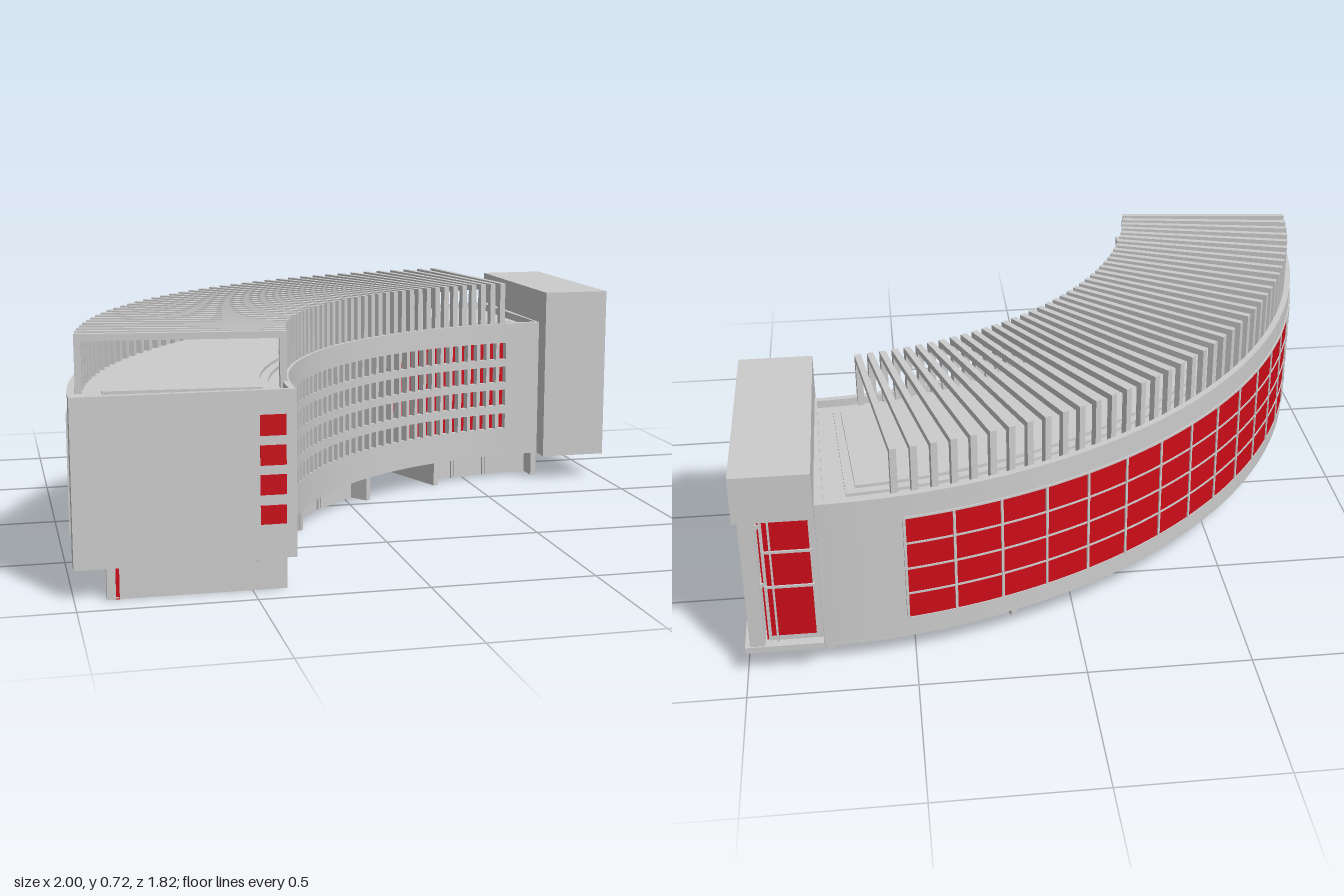
import * as THREE from 'three';
import { toCreasedNormals } from 'three/addons/utils/BufferGeometryUtils.js';

const CX = 0.8, CZ = 0.91;            // centre of the curved plan
const R_IN = 1.17, R_OUT = 1.8;       // courtyard and street radii
const RAD = Math.PI / 180;
const END = 89;                       // sweep of the wing in degrees
const ROWS = [[0.19, 0.245], [0.275, 0.333], [0.36, 0.418], [0.445, 0.505]];

const grey = new THREE.MeshStandardMaterial({ color: 0xcccccc });
const red = new THREE.MeshStandardMaterial({ color: 0xcc0c18 });

export function createModel() {
  const root = new THREE.Group();

  const part = (name) => {
    const g = new THREE.Group();
    g.name = name;
    root.add(g);
    return g;
  };
  const add = (parent, name, geometry, material) => {
    const m = new THREE.Mesh(geometry, material);
    m.name = name;
    parent.add(m);
    return m;
  };
  // box given by its limits
  const box = (parent, name, x0, x1, y0, y1, z0, z1, material = grey) => {
    const m = add(parent, name, new THREE.BoxGeometry(x1 - x0, y1 - y0, z1 - z0), material);
    m.position.set((x0 + x1) / 2, (y0 + y1) / 2, (z0 + z1) / 2);
    return m;
  };
  // curved block between two radii, two angles and two heights
  const sector = (parent, name, r0, r1, t0, t1, y0, y1, material = grey) => {
    const a0 = Math.PI - t0 * RAD, a1 = Math.PI - t1 * RAD;
    const shape = new THREE.Shape();
    shape.absarc(CX, -CZ, r1, a0, a1, true);
    shape.absarc(CX, -CZ, r0, a1, a0, false);
    shape.closePath();
    const curveSegments = Math.max(3, Math.ceil((t1 - t0) * 0.7));
    const g = new THREE.ExtrudeGeometry(shape, { depth: y1 - y0, bevelEnabled: false, curveSegments });
    g.rotateX(-Math.PI / 2);
    g.translate(0, y0, 0);
    return add(parent, name, toCreasedNormals(g, 0.5), material);
  };
  // box lying along a radius
  const radialBox = (parent, name, r0, r1, t, width, y0, y1, material = grey) => {
    const m = add(parent, name, new THREE.BoxGeometry(r1 - r0, y1 - y0, width), material);
    const r = (r0 + r1) / 2;
    m.position.set(CX - r * Math.cos(t * RAD), (y0 + y1) / 2, CZ - r * Math.sin(t * RAD));
    m.rotation.y = -t * RAD;
    return m;
  };

  // main wing with parapet and raised roof
  const wing = part('curvedWing');
  sector(wing, 'wingBody', R_IN + 0.03, R_OUT, 0, END, 0.09, 0.55);
  sector(wing, 'innerParapet', R_IN, R_IN + 0.02, 0, END, 0.55, 0.575);
  sector(wing, 'outerParapet', R_OUT - 0.02, R_OUT, 0, END, 0.55, 0.575);
  sector(wing, 'frontParapet', R_IN, R_OUT, 0, 0.8, 0.55, 0.575);
  sector(wing, 'rearParapet', R_IN, R_OUT, END - 0.8, END, 0.55, 0.575);
  sector(wing, 'roofStep', R_IN + 0.06, R_OUT - 0.07, 2.6, 86, 0.55, 0.56);
  sector(wing, 'roofSlab', R_IN + 0.085, R_OUT - 0.095, 3.6, 85, 0.56, 0.57);

  // courtyard wall: plain bands, then piers with red glass behind
  const court = part('courtyardWall');
  const T0 = 6.9, T1 = 82.5, BAYS = 39;
  sector(court, 'frontWall', R_IN, R_IN + 0.03, 0, T0, 0.09, 0.55);
  sector(court, 'rearWall', R_IN, R_IN + 0.03, T1, END, 0.09, 0.55);
  const edges = [0.09, ...ROWS.flat(), 0.55];
  for (let i = 0; i < edges.length; i += 2)
    sector(court, 'wallBand', R_IN, R_IN + 0.03, T0, T1, edges[i], edges[i + 1]);
  for (const [y0, y1] of ROWS) {
    sector(court, 'windowGlass', R_IN + 0.022, R_IN + 0.032, T0, T1, y0, y1, red);
    for (let i = 0; i <= BAYS; i++)
      radialBox(court, 'windowPier', R_IN - 0.002, R_IN + 0.03, T0 + (T1 - T0) * i / BAYS, 0.014, y0, y1);
  }

  // windows on the front end
  const endWindows = part('endWindows');
  for (const [y0, y1] of ROWS) box(endWindows, 'endWindow', -0.475, -0.4, y0, y1, 0.9, 0.912, red);

  // large street-side glazing with mullions
  const glazing = part('streetGlazing');
  const G0 = 5.5, G1 = 81, GY0 = 0.15, GY1 = 0.5;
  sector(glazing, 'streetGlass', R_OUT - 0.01, R_OUT + 0.002, G0, G1, GY0, GY1, red);
  for (let i = 0; i <= 16; i++)
    radialBox(glazing, 'mullion', R_OUT - 0.01, R_OUT + 0.006, G0 + (G1 - G0) * i / 16, 0.008, GY0, GY1);
  for (let i = 0; i <= 4; i++) {
    const y = GY0 + (GY1 - GY0) * i / 4;
    sector(glazing, 'transom', R_OUT - 0.01, R_OUT + 0.005, G0, G1, y - 0.003, y + 0.003);
  }

  // row of portal frames over the roof
  const pergola = part('roofFrames');
  const FRAMES = 40;
  for (let i = 0; i < FRAMES; i++) {
    const t = 6.8 + (81.6 - 6.8) * i / (FRAMES - 1);
    radialBox(pergola, 'frameBeam', R_IN + 0.008, R_OUT - 0.02, t, 0.02, 0.7, 0.72);
    radialBox(pergola, 'innerPost', R_IN + 0.008, R_IN + 0.028, t, 0.02, 0.55, 0.7);
    radialBox(pergola, 'outerPost', R_OUT - 0.04, R_OUT - 0.02, t, 0.02, 0.55, 0.7);
  }

  // ground floor: three hollow pavilions, glazed to the street
  const ground = part('groundFloor');
  for (const [t0, t1] of [[0, 20], [31, 53], [69, END]]) {
    const inset0 = t0 === 0 ? 0.5 : 0, inset1 = t1 === END ? 0.5 : 0;
    radialBox(ground, 'crossWall', 1.2, 1.71, t0 + inset0, 0.02, 0, 0.092);
    radialBox(ground, 'crossWall', 1.2, 1.71, t1 - inset1, 0.02, 0, 0.092);
    sector(ground, 'courtyardScreen', 1.27, 1.285, t0, t1, 0, 0.092);
    sector(ground, 'streetScreen', 1.675, 1.685, t0, t1, 0, 0.092, red);
    const mid = (t0 + t1) / 2, n = 10;
    for (const s of [-3, 3]) {
      radialBox(ground, 'doorFrame', 1.262, 1.28, mid + s, 0.08, 0, 0.08);
      radialBox(ground, 'doorLeaf', 1.258, 1.28, mid + s, 0.06, 0.005, 0.07);
    }
    for (let i = 1; i < n; i++)
      radialBox(ground, 'screenMullion', 1.675, 1.692, t0 + (t1 - t0) * i / n, 0.007, 0, 0.092);
    sector(ground, 'screenSill', 1.67, 1.692, t0, t1, 0, 0.008);
  }

  // rectangular end block with recessed glazing
  const block = part('endBlock');
  box(block, 'blockCap', 0.77, 1, 0.6, 0.69, -0.91, -0.19);
  box(block, 'capFascia', 0.77, 1, 0.54, 0.6, -0.91, -0.36);
  box(block, 'blockFloor', 0.77, 1, 0.09, 0.11, -0.91, -0.19);
  box(block, 'blockFrontWall', 0.77, 1, 0.11, 0.6, -0.245, -0.19);
  box(block, 'blockCore', 0.77, 0.93, 0.11, 0.6, -0.88, -0.245);
  box(block, 'sideGlass', 0.925, 0.935, 0.11, 0.54, -0.875, -0.36, red);
  box(block, 'stairGlass', 0.925, 0.94, 0.14, 0.6, -0.355, -0.245, red);
  for (const y of [0.3, 0.5]) box(block, 'sideTransom', 0.93, 0.945, y, y + 0.012, -0.88, -0.245);
  for (let i = 0; i <= 20; i++) {
    const z = -0.362 - 0.54 * i / 20, w = i % 5 ? 0.0025 : 0.004;
    box(block, 'sunBlade', 0.94, 0.985, 0.11, 0.54, z - w, z + w);
  }
  // rear window of the block
  box(block, 'rearGlass', 0.79, 0.92, 0.13, 0.53, -0.885, -0.875, red);
  for (const y of [0.3, 0.42]) box(block, 'rearTransom', 0.785, 0.925, y, y + 0.008, -0.89, -0.88);
  box(block, 'rearMullion', 0.9, 0.906, 0.11, 0.54, -0.89, -0.88);

  return root;
}
